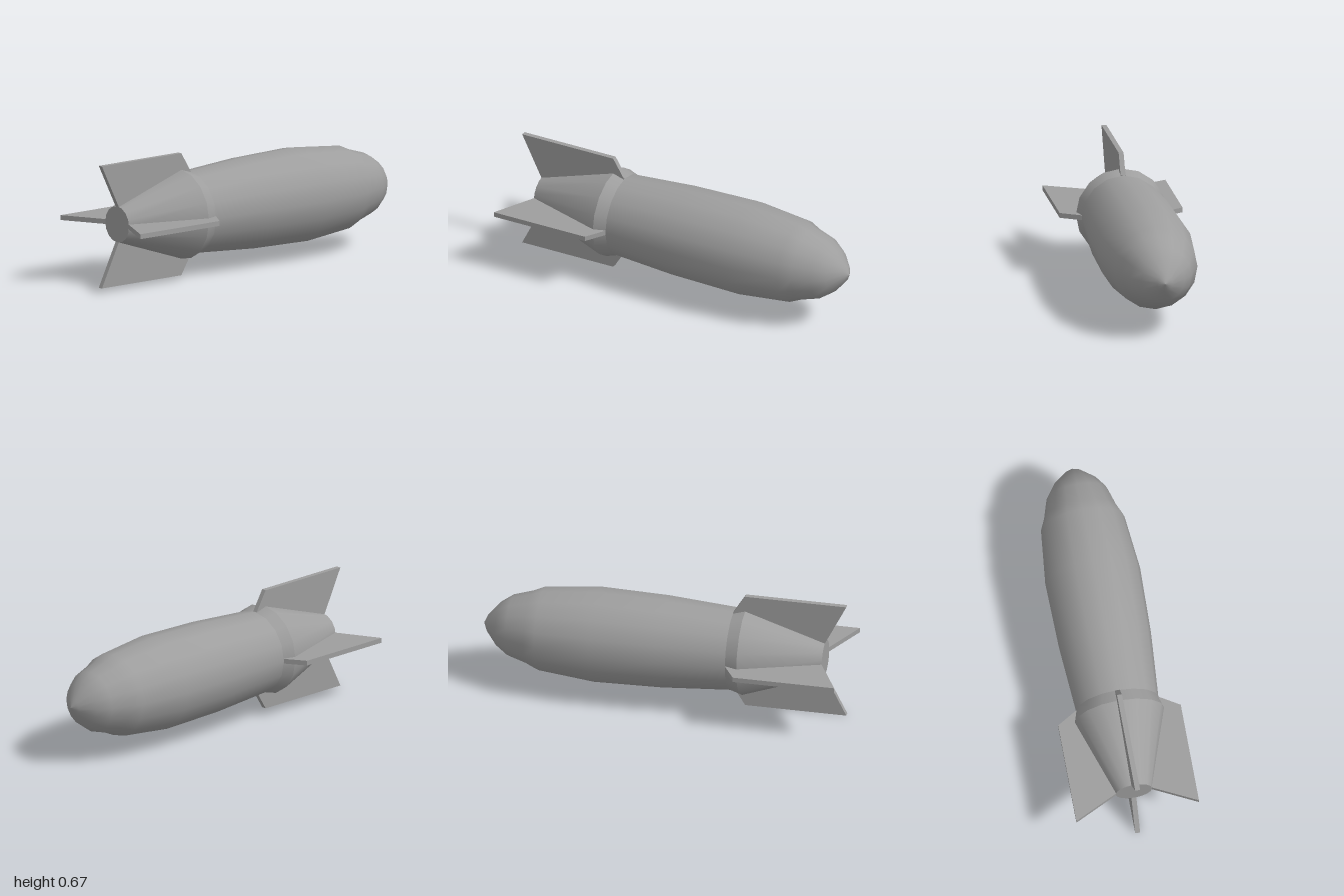
import * as THREE from 'three';

export function createModel() {
  const model = new THREE.Group();
  const material = new THREE.MeshStandardMaterial({ color: 0x9e9e9e });
  const centreY = 0.336;
  const sides = 16;

  function add(name, geometry) {
    const mesh = new THREE.Mesh(geometry, material);
    mesh.name = name;
    mesh.position.y = centreY;
    model.add(mesh);
    return mesh;
  }

  // Turned part along z, from [radius, z] pairs running nose to tail
  function turned(name, profile) {
    const points = profile.map(([r, z]) => new THREE.Vector2(r, z));
    add(name, new THREE.LatheGeometry(points, sides).rotateX(Math.PI / 2));
  }

  // Nose and body, smooth along their length
  turned('body', [
    [0, -1], [0.045, -0.98], [0.12, -0.918], [0.168, -0.85],
    [0.2, -0.745], [0.229, -0.68], [0.26, -0.375], [0.252, 0], [0.226, 0.375],
  ]);
  // Flared collar, tail cone and end cap, each with crisp edges
  turned('collar', [[0.226, 0.375], [0.247, 0.442]]);
  turned('tailCone', [[0.247, 0.442], [0.1, 0.882]]);
  turned('tailCap', [[0.1, 0.882], [0, 0.882]]);

  // Four swept fins, drawn as z across and radius up
  const thickness = 0.027;
  const outline = [[0.375, 0.226], [0.442, 0.336], [1, 0.336], [0.882, 0.098], [0.45, 0.12]];
  const finGeometry = new THREE.ExtrudeGeometry(
    new THREE.Shape(outline.map(([z, r]) => new THREE.Vector2(z, r))),
    { depth: thickness, bevelEnabled: false },
  );
  finGeometry.translate(0, 0, -thickness / 2).rotateY(-Math.PI / 2);
  ['topFin', 'leftFin', 'bottomFin', 'rightFin'].forEach((name, i) => {
    add(name, finGeometry).rotation.z = -i * Math.PI / 2;
  });

  return model;
}
